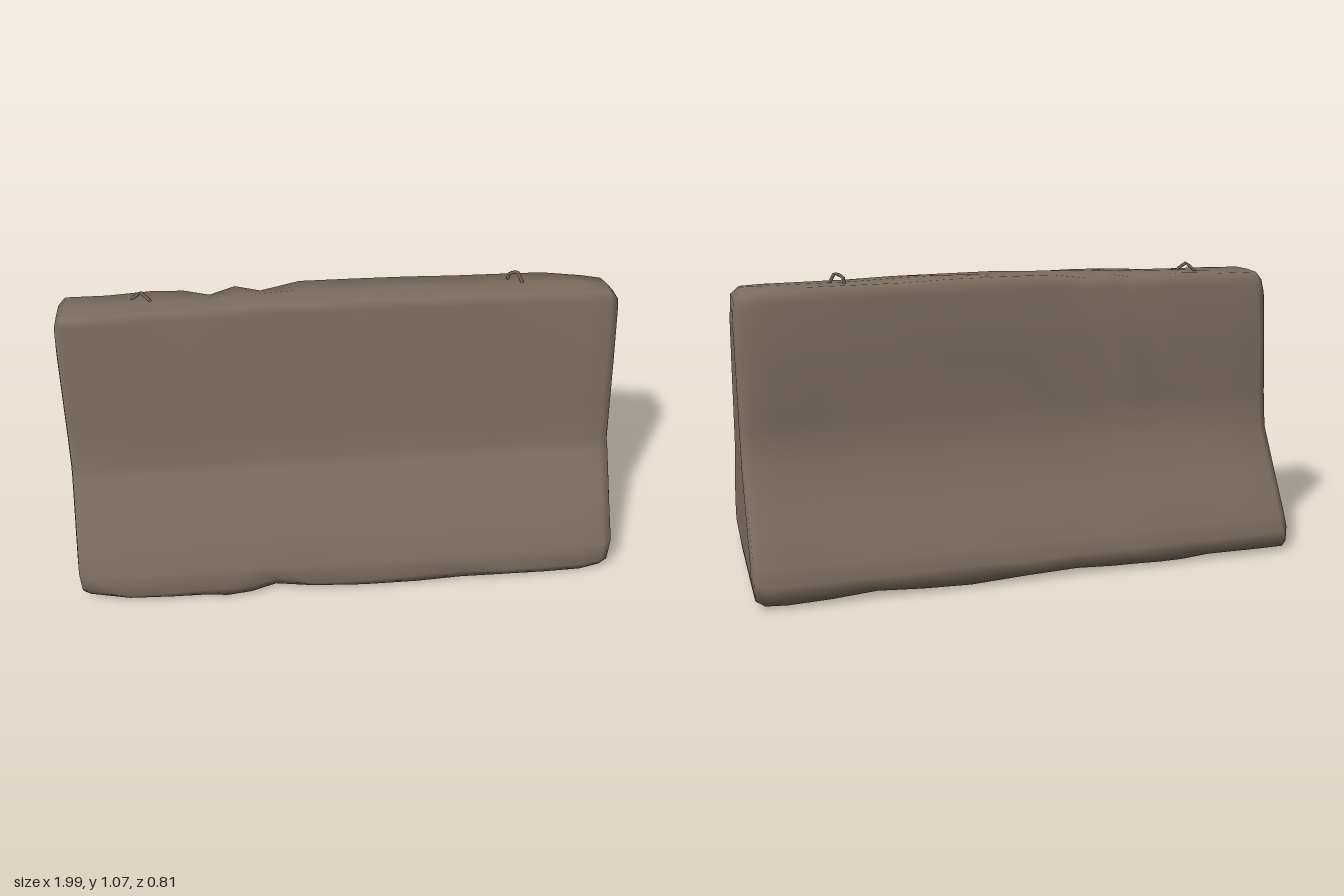
import * as THREE from 'three';

// Barrier cross-section as [z, y]: up the front, over the top, down the back, along the base
const PROFILE = [
  [0.395, 0.02], [0.405, 0.05], [0.398, 0.135], [0.30, 0.285], [0.2, 0.435], [0.176, 0.475],
  [0.148, 0.61], [0.108, 0.81], [0.066, 1.01], [0.052, 1.038],
  [-0.03, 1.042], [-0.105, 1.038], [-0.125, 0.99], [-0.152, 0.78], [-0.168, 0.58],
  [-0.186, 0.44], [-0.285, 0.285], [-0.37, 0.14], [-0.398, 0.08], [-0.398, 0.025],
  [-0.2, 0.015], [0, 0.015], [0.2, 0.015],
];
const CENTRE = [0, 0.4];

// Lengthwise stations as [x, section scale]; the ends round over and close to a point
const STATIONS = [
  [-0.995, 0], [-0.998, 0.82], [-0.992, 0.955], [-0.965, 1], [-0.82, 1], [-0.66, 1], [-0.55, 1],
  [-0.46, 1], [-0.37, 1], [-0.28, 1], [-0.14, 1], [0.05, 1], [0.25, 1], [0.42, 1], [0.58, 1],
  [0.74, 1], [0.88, 1], [0.955, 1], [0.985, 0.955], [0.992, 0.82], [0.99, 0],
];

// Local chips worn out of the edges: x, y, z, radius, depth
const CHIPS = [
  [-0.46, 1.03, -0.11, 0.1, 0.03], [-0.28, 1.03, -0.11, 0.09, 0.022],
  [-0.28, 0.03, 0.4, 0.1, 0.025], [0.97, 1.03, -0.11, 0.12, 0.03],
  [-0.97, 0.03, 0.4, 0.1, 0.025], [0.97, 0.03, 0.4, 0.1, 0.015],
];

function seeded(seed) {
  return () => {
    seed = (seed * 16807) % 2147483647;
    return seed / 2147483647 - 0.5;
  };
}

function bodyGeometry() {
  const rand = seeded(4127);
  const n = PROFILE.length;
  const positions = [];
  const index = [];
  STATIONS.forEach(([x, scale], i) => {
    PROFILE.forEach(([pz, py], j) => {
      let z = CENTRE[0] + (pz - CENTRE[0]) * scale;
      let y = CENTRE[1] + (py - CENTRE[1]) * scale;
      // Slight sag of the top towards the ends, and uneven hand-cast faces
      if (py > 0.95) y += 0.008 * Math.cos(x * 3.1) * scale;
      if (py < 0.03) y += 0.006 * Math.sin(x * 9 + 2.5) * scale;
      z += rand() * 0.012 * scale;
      y += rand() * 0.007 * scale;
      for (const [cx, cy, cz, radius, depth] of CHIPS) {
        const d = Math.hypot(x - cx, y - cy, z - cz);
        if (d < radius) {
          const k = depth * (1 - d / radius);
          z -= Math.sign(cz) * k;
          y += (cy > 0.5 ? -k : k) * 0.7;
        }
      }
      positions.push(x, Math.max(y, 0.003), z);
      if (i < STATIONS.length - 1) {
        const a = i * n + j;
        const b = i * n + (j + 1) % n;
        index.push(a, a + n, b, b, a + n, b + n);
      }
    });
  });
  const geometry = new THREE.BufferGeometry();
  geometry.setAttribute('position', new THREE.Float32BufferAttribute(positions, 3));
  geometry.setIndex(index);
  geometry.computeVertexNormals();
  return geometry;
}

// Bent steel lifting eye set into the top
function liftingEye(points, material) {
  const path = new THREE.CurvePath();
  const pts = points.map((p) => new THREE.Vector3(...p));
  for (let i = 1; i < pts.length; i++) path.add(new THREE.LineCurve3(pts[i - 1], pts[i]));
  return new THREE.Mesh(new THREE.TubeGeometry(path, 14, 0.006, 5), material);
}

export function createModel() {
  const concrete = new THREE.MeshStandardMaterial({ color: 0x7b6d5d });
  concrete.name = 'concrete';

  const group = new THREE.Group();
  group.name = 'roadBarrier';

  const body = new THREE.Mesh(bodyGeometry(), concrete);
  body.name = 'barrierBody';
  group.add(body);

  const leftEye = liftingEye([
    [0.605, 1.02, -0.07], [0.61, 1.06, -0.066], [0.637, 1.073, -0.054], [0.655, 1.035, -0.038], [0.66, 1.02, -0.035],
  ], concrete);
  leftEye.name = 'leftLiftingEye';

  const rightEye = liftingEye([
    [-0.74, 1.02, -0.062], [-0.72, 1.045, -0.055], [-0.697, 1.066, -0.045], [-0.67, 1.045, -0.033], [-0.655, 1.02, -0.03],
  ], concrete);
  rightEye.name = 'rightLiftingEye';

  group.add(leftEye, rightEye);
  return group;
}
